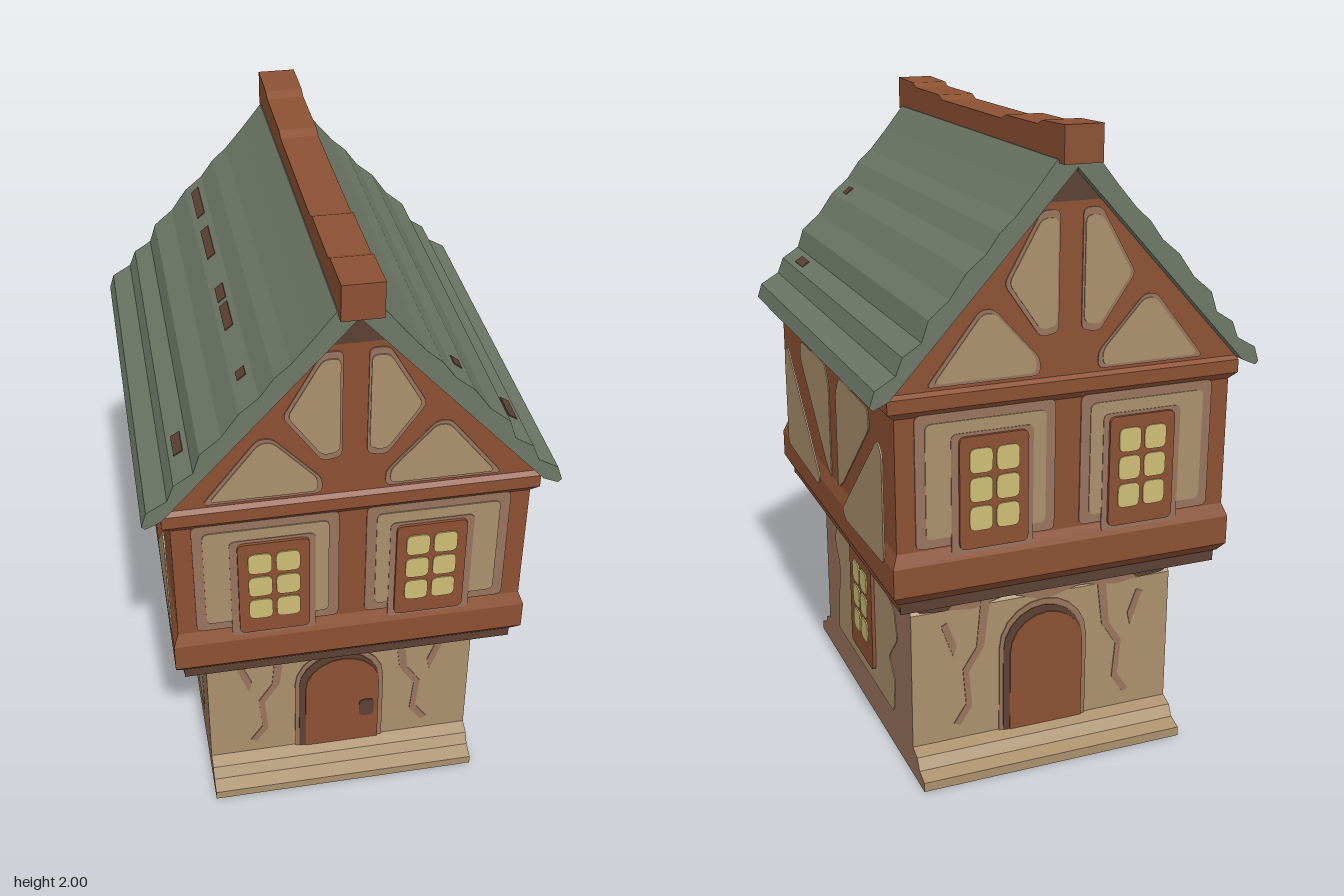
import * as THREE from 'three';

const mat = (name, color) => Object.assign(new THREE.MeshStandardMaterial({ color }), { name });

export function createModel() {
  const timber = mat('timber', 0x8c5133), darkWood = mat('dark wood', 0x5c4033);
  const plaster = mat('plaster', 0xab8f6c), worn = mat('worn plaster', 0x98745c);
  const glass = mat('lit glass', 0xcdbd74), tile = mat('roof tile', 0x6d7766);
  const house = new THREE.Group();
  house.name = 'house';

  const add = (parent, name, geo, material) => {
    const m = new THREE.Mesh(geo, material);
    m.name = name;
    parent.add(m);
    return m;
  };

  // Polygon with softened corners
  const soft = (pts, r = 0.02) => {
    const v = pts.map(p => new THREE.Vector2(...p)), s = new THREE.Shape();
    v.forEach((p, i) => {
      const a = v[(i + v.length - 1) % v.length], b = v[(i + 1) % v.length];
      const toward = q => p.clone().lerp(q, Math.min(0.45, r / p.distanceTo(q)));
      const p0 = toward(a), p1 = toward(b);
      if (i) s.lineTo(p0.x, p0.y); else s.moveTo(p0.x, p0.y);
      s.quadraticCurveTo(p.x, p.y, p1.x, p1.y);
    });
    s.closePath();
    return s;
  };
  const rect = (x0, y0, x1, y1) => [[x0, y0], [x1, y0], [x1, y1], [x0, y1]];
  const flip = pts => pts.map(([x, y]) => [-x, y]);
  const extrude = (shape, depth) =>
    new THREE.ExtrudeGeometry(shape, { depth, bevelEnabled: false, curveSegments: 5 });

  // Thin plate standing off a wall at distance d
  const plate = (parent, name, shape, material, d, depth = 0.005) => {
    const m = add(parent, name, extrude(Array.isArray(shape) ? soft(shape) : shape, depth), material);
    m.position.z = d;
    return m;
  };
  const poly = pts => new THREE.Shape(pts.map(p => new THREE.Vector2(...p)));

  // Mirrored (z, y) profile swept across the width
  const sweep = (name, half, width, material) => {
    const pts = [...half, ...flip(half).reverse()];
    const g = extrude(poly(pts), width);
    g.translate(0, 0, -width / 2).rotateY(Math.PI / 2);
    return add(house, name, g, material);
  };

  // Stack of rectangular rings [y, halfX, halfZ]
  const loft = (name, levels, material) => {
    const ring = ([y, x, z]) => [[-x, y, z], [x, y, z], [x, y, -z], [-x, y, -z]];
    const pos = [], quad = (a, b, c, d) => pos.push(...a, ...b, ...c, ...a, ...c, ...d);
    const rings = levels.map(ring);
    for (let i = 0; i + 1 < rings.length; i++) {
      const lo = rings[i], hi = rings[i + 1];
      for (let k = 0; k < 4; k++) quad(lo[k], lo[(k + 1) % 4], hi[(k + 1) % 4], hi[k]);
    }
    quad(...[...rings[0]].reverse());
    quad(...rings[rings.length - 1]);
    const g = new THREE.BufferGeometry();
    g.setAttribute('position', new THREE.Float32BufferAttribute(pos, 3));
    g.computeVertexNormals();
    return add(house, name, g, material);
  };

  // Ground floor: flared plinth front and back, flat sides
  sweep('groundFloor', [[0.575, 0], [0.575, 0.03], [0.53, 0.045], [0.51, 0.08], [0.47, 0.095],
    [0.47, 0.54], [0.455, 0.56], [0.46, 0.63]], 0.87, [worn, plaster]);

  // Overhanging upper floor
  loft('jetty', [[0.61, 0.49, 0.57], [0.63, 0.51, 0.6], [0.67, 0.515, 0.605]], timber);
  loft('upperFloor', [[0.66, 0.52, 0.61], [0.69, 0.537, 0.635], [0.78, 0.537, 0.635], [0.82, 0.522, 0.62],
    [1.22, 0.522, 0.62], [1.24, 0.545, 0.635], [1.28, 0.545, 0.635], [1.29, 0.54, 0.62]], timber);
  const gable = add(house, 'gable', extrude(poly([[-0.565, 1.28], [0.565, 1.28], [0, 1.9]]), 1.24), timber);
  gable.position.z = -0.62;

  // Stepped roof
  const steps = [[0.6, 1.275], [0.585, 1.32], [0.525, 1.355], [0.505, 1.405], [0.45, 1.44], [0.43, 1.5],
    [0.37, 1.55], [0.32, 1.62], [0.265, 1.665], [0.225, 1.72], [0.18, 1.76], [0.12, 1.83], [0.06, 1.905]];
  const under = [[0, 1.88], [0.545, 1.285], [0.59, 1.265]];
  const roof = add(house, 'roof', extrude(poly([...steps, ...flip(steps).reverse(),
    ...flip(under).reverse(), ...under.slice(1)]), 1.31), tile);
  roof.position.z = -0.655;

  // Worn spots on the roof: [side, step, z, length]
  [[-1, 7, -0.51, 0.18], [-1, 7, -0.24, 0.18], [-1, 7, 0.07, 0.08], [-1, 7, 0.2, 0.13], [-1, 7, 0.5, 0.04],
    [-1, 3, 0.49, 0.09], [1, 3, 0.49, 0.09], [1, 7, 0.55, 0.04]].forEach(([s, i, z, len]) => {
    const [ax, ay] = steps[i], [bx, by] = steps[i + 1];
    const m = add(house, 'roofSpot', new THREE.BoxGeometry(0.03, 0.006, len), darkWood);
    m.position.set(s * (ax + bx) / 2, (ay + by) / 2, z);
    m.rotation.z = s * Math.atan2(by - ay, bx - ax) + (s > 0 ? Math.PI : -Math.PI);
  });

  // Ridge beam with raised ends
  sweep('ridgeBeam', [[0.64, 1.87], [0.65, 1.895], [0.69, 1.895], [0.69, 2], [0.54, 1.995],
    [0.51, 1.982], [0.28, 1.98], [0.25, 1.967]], 0.115, timber);

  // Window with a grid of panes
  const window = (parent, x, y, w, h, d, pw, ph) => {
    const g = new THREE.Group();
    g.name = 'window';
    g.position.set(x, y, d);
    parent.add(g);
    plate(g, 'windowFrame', rect(-w / 2, -h / 2, w / 2, h / 2), timber, 0, 0.016);
    for (const i of [-1, 1]) for (const j of [-1, 0, 1]) {
      const cx = i * (pw / 2 + 0.006), cy = j * (ph + 0.013) + 0.01;
      plate(g, 'pane', rect(cx - pw / 2, cy - ph / 2, cx + pw / 2, cy + ph / 2), glass, 0.016, 0.004);
    }
    return g;
  };

  // Plaster infill with a worn margin
  const infill = (parent, pts, k, d) => {
    const n = pts.length, cx = pts.reduce((a, p) => a + p[0], 0) / n, cy = pts.reduce((a, p) => a + p[1], 0) / n;
    plate(parent, 'infillMargin', pts, worn, d - 0.001);
    plate(parent, 'infill', pts.map(([x, y]) => [cx + (x - cx) * k, cy + (y - cy) * k]), plaster, d + 0.002);
  };

  const arch = (x0, x1, y0, y1) => {
    const s = new THREE.Shape(), r = (x1 - x0) / 2;
    s.moveTo(x0, y0);
    s.lineTo(x1, y0);
    s.lineTo(x1, y1 - r);
    s.absarc((x0 + x1) / 2, y1 - r, r, 0, Math.PI, false);
    s.closePath();
    return s;
  };

  // Front and back walls
  for (const back of [false, true]) {
    const wall = new THREE.Group();
    wall.name = back ? 'backWall' : 'frontWall';
    wall.rotation.y = back ? Math.PI : 0;
    house.add(wall);
    for (const s of [-1, 1]) {
      const m = pts => (s > 0 ? pts : flip(pts).reverse());
      infill(wall, m(rect(0.04, 0.825, 0.465, 1.225)), 0.86, 0.62);
      plate(wall, 'windowStain', m(rect(0.11, 0.79, 0.36, 1.16)), worn, 0.624);
      window(wall, s * 0.233, 0.98, 0.21, 0.34, 0.622, 0.07, 0.074);
      // Gable infills either side of the brace
      infill(wall, m([[0.035, 1.42], [0.09, 1.41], [0.2, 1.57], [0.09, 1.765], [0.035, 1.765]]), 0.88, 0.62);
      infill(wall, m([[0.09, 1.3], [0.43, 1.3], [0.27, 1.505], [0.23, 1.505], [0.09, 1.35]]), 0.9, 0.62);
      plate(wall, 'topStain', m([[0.3, 0.56], [0.32, 0.54], [0.42, 0.55], [0.42, 0.625], [0.29, 0.625]]), darkWood, 0.47);
      // Cracks in the plaster
      plate(wall, 'crack', poly(m([[0.18, 0.56], [0.2, 0.4], [0.25, 0.32], [0.24, 0.2], [0.28, 0.14],
        [0.3, 0.15], [0.26, 0.21], [0.27, 0.33], [0.225, 0.4], [0.21, 0.56]])), worn, 0.468);
      plate(wall, 'crack', poly(m([[0.32, 0.5], [0.29, 0.42], [0.3, 0.38], [0.315, 0.42], [0.34, 0.49]])), worn, 0.468);
    }
    plate(wall, 'wornBand', [[-0.42, 0.56], [-0.24, 0.53], [-0.12, 0.56], [0, 0.52], [0.12, 0.55], [0.25, 0.53],
      [0.42, 0.56], [0.42, 0.61], [-0.42, 0.61]], worn, 0.467);
    plate(wall, 'jettyShadowBoard', poly(rect(-0.51, 0.625, 0.51, 0.67)), darkWood, 0.601);
    plate(wall, 'apexBoard', poly([[-0.09, 1.785], [0.09, 1.785], [0, 1.89]]), darkWood, 0.617);
    // Arched door
    plate(wall, 'doorSurround', arch(-0.15, 0.145, 0.092, 0.525), worn, 0.469);
    plate(wall, 'doorArch', arch(-0.137, 0.13, 0.092, 0.505), darkWood, 0.471);
    plate(wall, 'door', arch(-0.115, 0.13, 0.092, 0.48), timber, 0.474);
    if (!back) {
      plate(wall, 'doorLatch', rect(0.065, 0.205, 0.115, 0.28), darkWood, 0.477);
      plate(wall, 'mossPatch', [[0.36, 0.54], [0.42, 0.495], [0.434, 0.54]], tile, 0.47);
    }
  }

  // Side walls
  for (const s of [-1, 1]) {
    const wall = new THREE.Group();
    wall.name = s > 0 ? 'leftWall' : 'rightWall';
    wall.rotation.y = s * Math.PI / 2;
    house.add(wall);
    for (const k of [-1, 1]) {
      const m = pts => (k > 0 ? pts : flip(pts).reverse());
      plate(wall, 'infill', m([[0.04, 0.81], [0.1, 0.85], [0.39, 1.12], [0.38, 1.18], [0.08, 1.185], [0.04, 1.12]]), plaster, 0.52);
      plate(wall, 'infill', m([[0.13, 0.775], [0.16, 0.75], [0.55, 0.765], [0.55, 1.1], [0.51, 1.13]]), plaster, 0.534);
    }
    plate(wall, 'plasterPatch', [[-0.34, 0.12], [0.29, 0.12], [0.31, 0.24], [0.25, 0.3], [0.34, 0.4], [0.31, 0.49],
      [0.13, 0.57], [-0.32, 0.56], [-0.35, 0.45], [-0.3, 0.38], [-0.32, 0.25]], plaster, 0.432);
    plate(wall, 'wallPlate', [[-0.43, 0.57], [-0.3, 0.58], [-0.2, 0.54], [0, 0.57], [0.2, 0.55], [0.43, 0.58],
      [0.43, 0.625], [-0.43, 0.625]], timber, 0.434);
    window(wall, -0.013, 0.365, 0.24, 0.38, 0.432, 0.07, 0.074);
  }
  return house;
}
